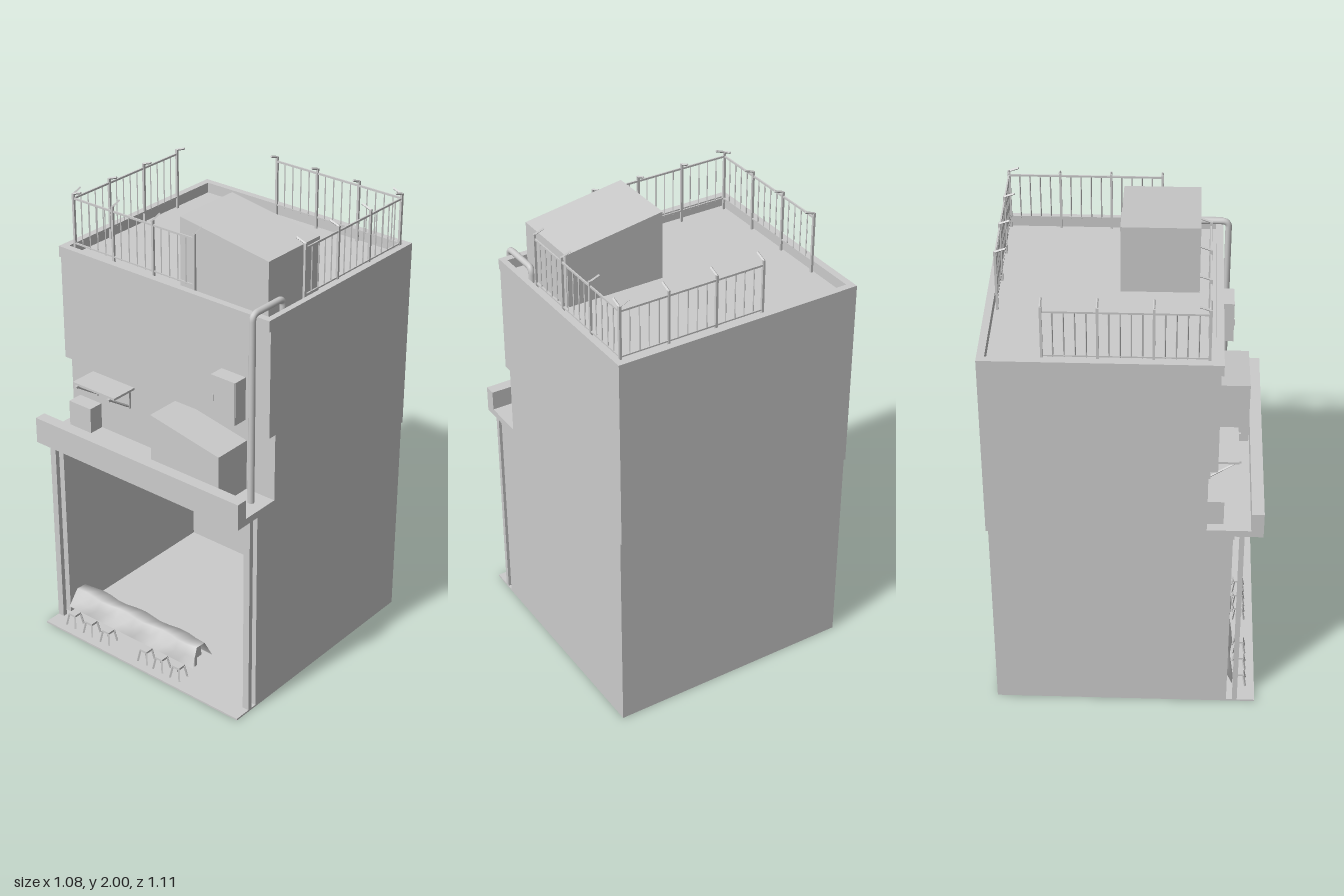
import * as THREE from 'three';

const mat = new THREE.MeshStandardMaterial({ color: 0xcccccc });
const flat = new THREE.MeshStandardMaterial({ color: 0xcccccc, flatShading: true });
const sheet = new THREE.MeshStandardMaterial({ color: 0xcccccc, side: THREE.DoubleSide });

function add(parent, name, geometry, material = mat) {
  const mesh = new THREE.Mesh(geometry, material);
  mesh.name = name;
  parent.add(mesh);
  return mesh;
}

// Box given by its limits on each axis
function box(parent, name, x0, x1, y0, y1, z0, z1) {
  const mesh = add(parent, name, new THREE.BoxGeometry(x1 - x0, y1 - y0, z1 - z0));
  mesh.position.set((x0 + x1) / 2, (y0 + y1) / 2, (z0 + z1) / 2);
  return mesh;
}

// Box whose top slopes from yLeft at x0 to yRight at x1
function slopedBox(parent, name, x0, x1, y0, yLeft, yRight, z0, z1) {
  const s = new THREE.Shape([[x0, y0], [x1, y0], [x1, yRight], [x0, yLeft]].map(p => new THREE.Vector2(...p)));
  const mesh = add(parent, name, new THREE.ExtrudeGeometry(s, { depth: z1 - z0, bevelEnabled: false }));
  mesh.position.z = z0;
  return mesh;
}

// Thin straight bar between two points
function bar(parent, name, a, b, r, sides = 5) {
  const from = new THREE.Vector3(...a), to = new THREE.Vector3(...b);
  const dir = to.clone().sub(from);
  const mesh = add(parent, name, new THREE.CylinderGeometry(r, r, dir.length(), sides), flat);
  mesh.position.copy(from).add(to).multiplyScalar(0.5);
  mesh.quaternion.setFromUnitVectors(new THREE.Vector3(0, 1, 0), dir.normalize());
  return mesh;
}

// Railing along local x, with its hooked posts leaning towards local -z
function railing(name) {
  const g = new THREE.Group(), len = 0.63, bays = 15;
  g.name = name;
  box(g, 'topRail', 0, len, 1.945, 1.953, -0.003, 0.003);
  box(g, 'bottomRail', 0, len, 1.752, 1.758, -0.003, 0.003);
  for (let i = 0; i <= bays; i++) {
    const x = len * i / bays;
    if (i % 5) bar(g, 'baluster', [x, 1.75, 0], [x, 1.95, 0], 0.003, 4);
    else {
      box(g, 'post', x - 0.005, x + 0.005, 1.70, 1.97, -0.005, 0.005);
      bar(g, 'postHook', [x, 1.968, 0], [x, 1.983, -0.042], 0.005, 4);
    }
  }
  return g;
}

function stool(x, z) {
  const g = new THREE.Group();
  g.name = 'stool';
  box(g, 'stoolSeat', -0.019, 0.019, 0.058, 0.068, -0.019, 0.019);
  for (const sx of [-1, 1]) for (const sz of [-1, 1])
    bar(g, 'stoolLeg', [sx * 0.026, 0.008, sz * 0.026], [sx * 0.017, 0.062, sz * 0.017], 0.0055, 4);
  g.position.set(x, 0, z);
  return g;
}

export function createModel() {
  const root = new THREE.Group();
  root.name = 'building';

  // Open ground floor room
  box(root, 'floor', -0.51, 0.51, 0, 0.008, -0.41, 0.435);
  box(root, 'doorstep', -0.54, 0.54, 0, 0.008, 0.434, 0.555);
  for (const s of [-1, 1]) {
    const a = s * 0.51, b = s * 0.54;
    box(root, 'sideWall', Math.min(a, b), Math.max(a, b), 0, 0.92, -0.545, 0.434);
    box(root, 'frontPost', Math.min(a, b), Math.max(a, b), 0, 0.92, 0.46, 0.48);
  }
  box(root, 'outerBackWall', -0.54, 0.54, 0, 0.92, -0.545, -0.535);
  box(root, 'roomBackWall', -0.51, 0.51, 0, 0.92, -0.42, -0.41);

  // Upper storeys
  box(root, 'balconyStorey', -0.54, 0.54, 0.92, 1.245, -0.555, 0.328);
  box(root, 'upperStorey', -0.54, 0.54, 1.245, 1.705, -0.555, 0.365);

  // Roof parapet ring
  const rect = (C, x0, x1, z0, z1) =>
    new C([[x0, -z0], [x0, -z1], [x1, -z1], [x1, -z0]].map(p => new THREE.Vector2(...p)));
  const ring = rect(THREE.Shape, -0.54, 0.54, -0.555, 0.375);
  ring.holes.push(rect(THREE.Path, -0.51, 0.515, -0.525, 0.345));
  const parapet = add(root, 'parapet', new THREE.ExtrudeGeometry(ring, { depth: 0.047, bevelEnabled: false }));
  parapet.rotation.x = -Math.PI / 2;
  parapet.position.y = 1.703;

  // Balcony with open ends
  box(root, 'balconyFloor', -0.54, 0.54, 0.92, 0.95, 0.328, 0.506);
  box(root, 'balconyFront', -0.54, 0.54, 0.92, 1.035, 0.505, 0.555);
  slopedBox(root, 'balconyShed', 0.05, 0.40, 0.95, 1.235, 1.17, 0.328, 0.502);
  box(root, 'balconyCrate', -0.50, -0.38, 0.95, 1.063, 0.328, 0.395);

  // Roof hut
  slopedBox(root, 'roofHut', 0.025, 0.46, 1.70, 2.0, 1.935, -0.035, 0.28);

  // Wall cabinet with door and latch
  box(root, 'wallCabinet', 0.302, 0.422, 1.287, 1.472, 0.365, 0.425);
  box(root, 'cabinetDoor', 0.30, 0.42, 1.287, 1.472, 0.422, 0.43);
  box(root, 'cabinetLatch', 0.31, 0.316, 1.36, 1.39, 0.429, 0.434);

  // Wall shelf on two triangular brackets
  box(root, 'wallShelf', -0.42, -0.19, 1.192, 1.202, 0.328, 0.45);
  for (const x of [-0.395, -0.217]) {
    box(root, 'bracketUpright', x - 0.006, x + 0.006, 1.10, 1.195, 0.328, 0.338);
    box(root, 'bracketArm', x - 0.006, x + 0.006, 1.182, 1.193, 0.328, 0.46);
    bar(root, 'bracketBrace', [x, 1.108, 0.333], [x, 1.187, 0.45], 0.005, 4);
  }

  // Drain pipe from the roof to the balcony
  const path = new THREE.CurvePath(), v = (y, z) => new THREE.Vector3(0.478, y, z);
  path.add(new THREE.LineCurve3(v(1.70, 0.214), v(1.74, 0.214)));
  path.add(new THREE.QuadraticBezierCurve3(v(1.74, 0.214), v(1.767, 0.214), v(1.767, 0.24)));
  path.add(new THREE.LineCurve3(v(1.767, 0.24), v(1.767, 0.37)));
  path.add(new THREE.QuadraticBezierCurve3(v(1.767, 0.37), v(1.767, 0.397), v(1.74, 0.397)));
  path.add(new THREE.LineCurve3(v(1.74, 0.397), v(0.95, 0.397)));
  add(root, 'drainPipe', new THREE.TubeGeometry(path, 160, 0.0135, 12));

  // Four railings, one on each side of the roof
  const runs = [
    ['frontRailing', -0.50, 0.32, 0],
    ['rightRailing', -0.50, -0.31, -Math.PI / 2],
    ['backRailing', 0.508, -0.512, Math.PI],
    ['leftRailing', 0.508, 0.12, Math.PI / 2],
  ];
  for (const [name, x, z, turn] of runs) {
    const g = railing(name);
    g.position.set(x, 0, z);
    g.rotation.y = turn;
    root.add(g);
  }

  // Creased cloth draped over a low counter
  const profile = [[0.33, 0.055], [0.36, 0.132], [0.42, 0.135], [0.445, 0.095], [0.455, 0.052]];
  const cloth = new THREE.PlaneGeometry(1, 1, 14, profile.length - 1);
  const pos = cloth.attributes.position;
  for (let i = 0; i < pos.count; i++) {
    const u = pos.getX(i) + 0.5, row = Math.round((0.5 - pos.getY(i)) * (profile.length - 1));
    const [z, y] = profile[row];
    const flare = (0.135 - y) * 0.15;
    const fold = Math.sin(u * 19 + row * 1.7) * 0.007;
    pos.setXYZ(i, -0.135 + (u - 0.5) * (0.69 + 2 * flare), y + (row % 4 ? 0 : fold), z + fold);
  }
  cloth.computeVertexNormals();
  add(root, 'counterCloth', cloth, sheet);
  box(root, 'counter', -0.46, 0.19, 0.06, 0.122, 0.365, 0.415);
  for (const x of [-0.44, -0.14, 0.17]) box(root, 'counterLeg', x - 0.008, x + 0.008, 0, 0.07, 0.38, 0.396);

  // Two groups of three stools
  for (const x of [-0.43, -0.33, -0.23, -0.012, 0.075, 0.17]) root.add(stool(x, 0.49));

  return root;
}
